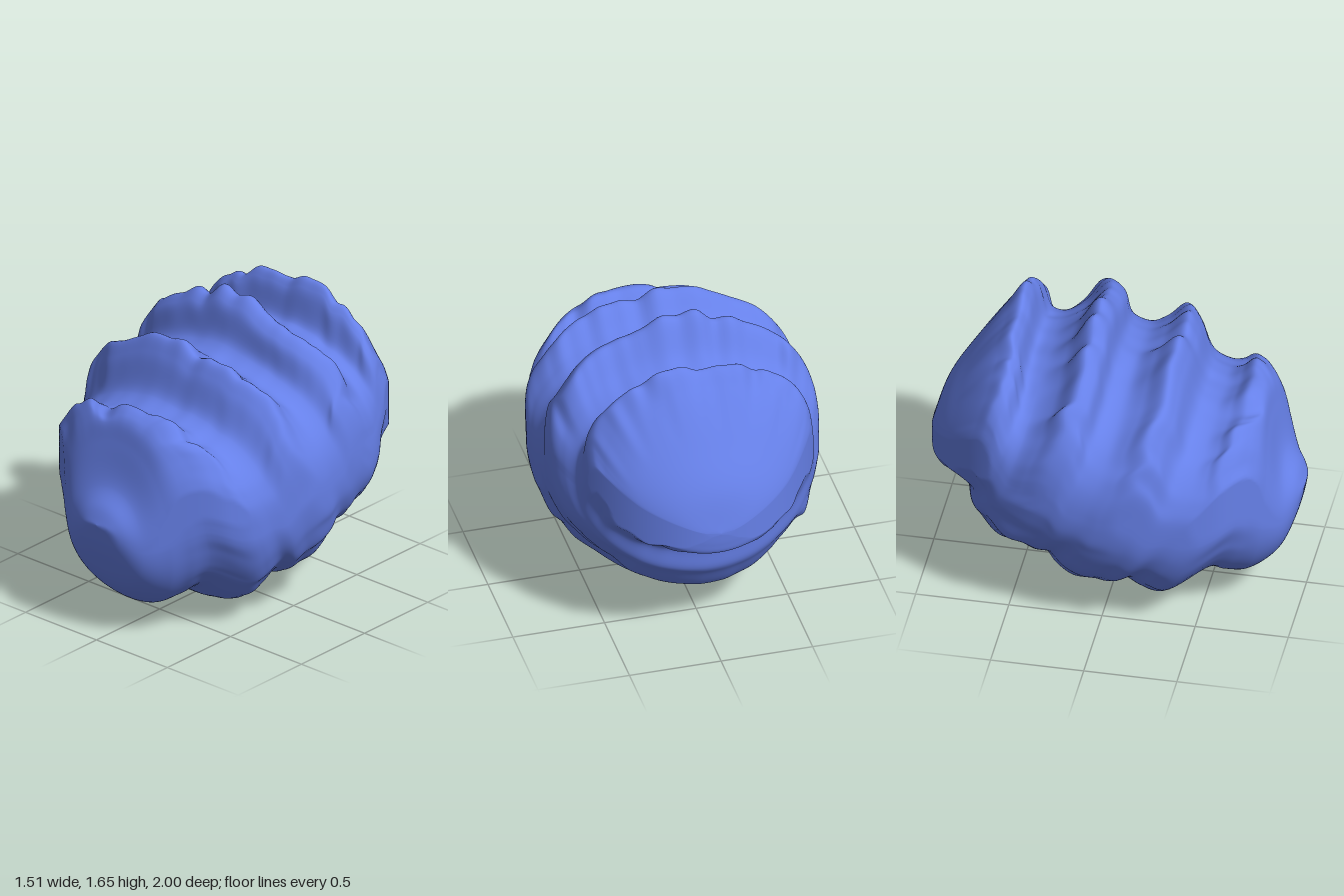
import * as THREE from 'three';

// Stations from front tip to back: top z, top y, bottom z, bottom y, ridge strength
const STATIONS = [
  [1.0, 0.68, 1.0, 0.67, 1], [0.96, 0.76, 0.96, 0.49, 1], [0.88, 0.86, 0.86, 0.27, 1],
  [0.82, 1.08, 0.68, 0.13, 0.9], [0.79, 1.2, 0.56, 0.13, 0.8], [0.76, 1.24, 0.47, 0.16, 0.8],
  [0.70, 1.27, 0.2, 0.0, 1], [0.62, 1.21, 0.1, 0.05, 0.5], [0.54, 1.18, 0.0, 0.12, 0],
  [0.45, 1.22, -0.08, 0.08, 0.2], [0.38, 1.42, -0.15, 0.07, 0.7], [0.32, 1.51, -0.24, 0.07, 1],
  [0.2, 1.4, -0.33, 0.15, 0.5], [0.09, 1.34, -0.4, 0.25, 0], [0.0, 1.38, -0.48, 0.25, 0.2],
  [-0.05, 1.56, -0.55, 0.26, 0.8], [-0.12, 1.62, -0.64, 0.27, 1], [-0.25, 1.45, -0.74, 0.4, 0.5],
  [-0.37, 1.37, -0.78, 0.46, 0], [-0.45, 1.37, -0.8, 0.6, 0.2], [-0.5, 1.55, -0.87, 0.65, 0.8],
  [-0.54, 1.6, -0.93, 0.67, 1], [-0.63, 1.5, -0.96, 0.68, 1], [-0.8, 1.26, -0.985, 0.7, 1],
  [-0.93, 1.05, -0.995, 0.75, 1], [-1.0, 0.83, -1.0, 0.82, 1],
];
const { smoothstep, clamp, lerp } = THREE.MathUtils;

function hash(i, j) {
  const v = Math.sin(i * 127.1 + j * 311.7 + 5.3) * 43758.5453;
  return v - Math.floor(v);
}

// Smooth value noise, periodic in u
function noise(u, v, period) {
  const i = Math.floor(u), j = Math.floor(v);
  const a = smoothstep(u - i, 0, 1), b = smoothstep(v - j, 0, 1);
  const h = (p, q) => hash(p % period, q);
  return lerp(lerp(h(i, j), h(i + 1, j), a), lerp(h(i, j + 1), h(i + 1, j + 1), a), b);
}

// Half width of the egg-shaped outline at depth z, narrower toward the front tip
function halfWidth(z) {
  const q = clamp(z, -1, 1);
  return 0.76 * Math.sqrt(1 - q * q) * (1 - 0.12 * smoothstep(q, 0.62, 0.88));
}

// Skin lofted through slanted oval rings, with jagged crests
function ridgedBody(rings, sides) {
  const top = new THREE.CatmullRomCurve3(STATIONS.map(s => new THREE.Vector3(s[4] * 0.1, s[1], s[0])));
  const bottom = new THREE.CatmullRomCurve3(STATIONS.map(s => new THREE.Vector3(s[4] * 0.1, s[3], s[2])));
  const positions = [], index = [];

  for (let i = 0; i <= rings; i++) {
    const t = i / rings, k = t * (STATIONS.length - 1);
    const T = top.getPoint(t), B = bottom.getPoint(t);
    const ridge = clamp(T.x * 10, 0, 1);
    const fade = smoothstep(k, 3, 6) * (1 - smoothstep(k, 21, 23));
    const bodyFade = smoothstep(k, 0, 4) * (1 - smoothstep(k, 21, 25));
    const midZ = (T.z + B.z) / 2, midY = (T.y + B.y) / 2;
    const width = halfWidth(midZ + 0.1 * bodyFade) * (1 - 0.03 * (1 - ridge) * bodyFade);

    for (let j = 0; j < sides; j++) {
      const u = j / sides, th = u * Math.PI * 2;
      const c = Math.cos(th), s = Math.sin(th);
      // Broad shoulders above, rounder below; crests bow forward at the flanks
      const cy = Math.sign(c) * Math.pow(Math.abs(c), 1 - (c > 0 ? 0.2 : 0.06) * bodyFade);
      let z = midZ + ((T.z - B.z) / 2) * c + 0.1 * s * s * bodyFade;
      let y = midY + ((T.y - B.y) / 2) * cy;
      // Torn crest edges
      const n = 0.55 * noise(u * 20, k / 5, 20) + 0.45 * noise(u * 46, k / 4, 46);
      const jag = fade * (0.2 + 0.8 * ridge);
      y += jag * (0.06 - 0.15 * n) * (c > 0 ? c : c * 0.35);
      z += jag * (n - 0.5) * 0.13 * Math.abs(s);
      y += jag * (n - 0.5) * 0.06 * s * s;
      const x = Math.sign(s) * Math.min(width * Math.abs(s), halfWidth(z));
      positions.push(x, y, z);
    }
  }
  for (let i = 0; i < rings; i++) {
    for (let j = 0; j < sides; j++) {
      const a = i * sides + j, b = i * sides + (j + 1) % sides;
      index.push(a, b, a + sides, b, b + sides, a + sides);
    }
  }
  const geometry = new THREE.BufferGeometry();
  geometry.setAttribute('position', new THREE.Float32BufferAttribute(positions, 3));
  geometry.setIndex(index);
  // Rest on the ground
  geometry.computeBoundingBox();
  geometry.translate(0, -geometry.boundingBox.min.y, 0);
  geometry.computeVertexNormals();
  return geometry;
}

export function createModel() {
  const group = new THREE.Group();
  group.name = 'ridgedBlob';
  const material = new THREE.MeshStandardMaterial({ color: 0x6680e8 });
  const body = new THREE.Mesh(ridgedBody(200, 220), material);
  body.name = 'ridgedBody';
  group.add(body);
  return group;
}
